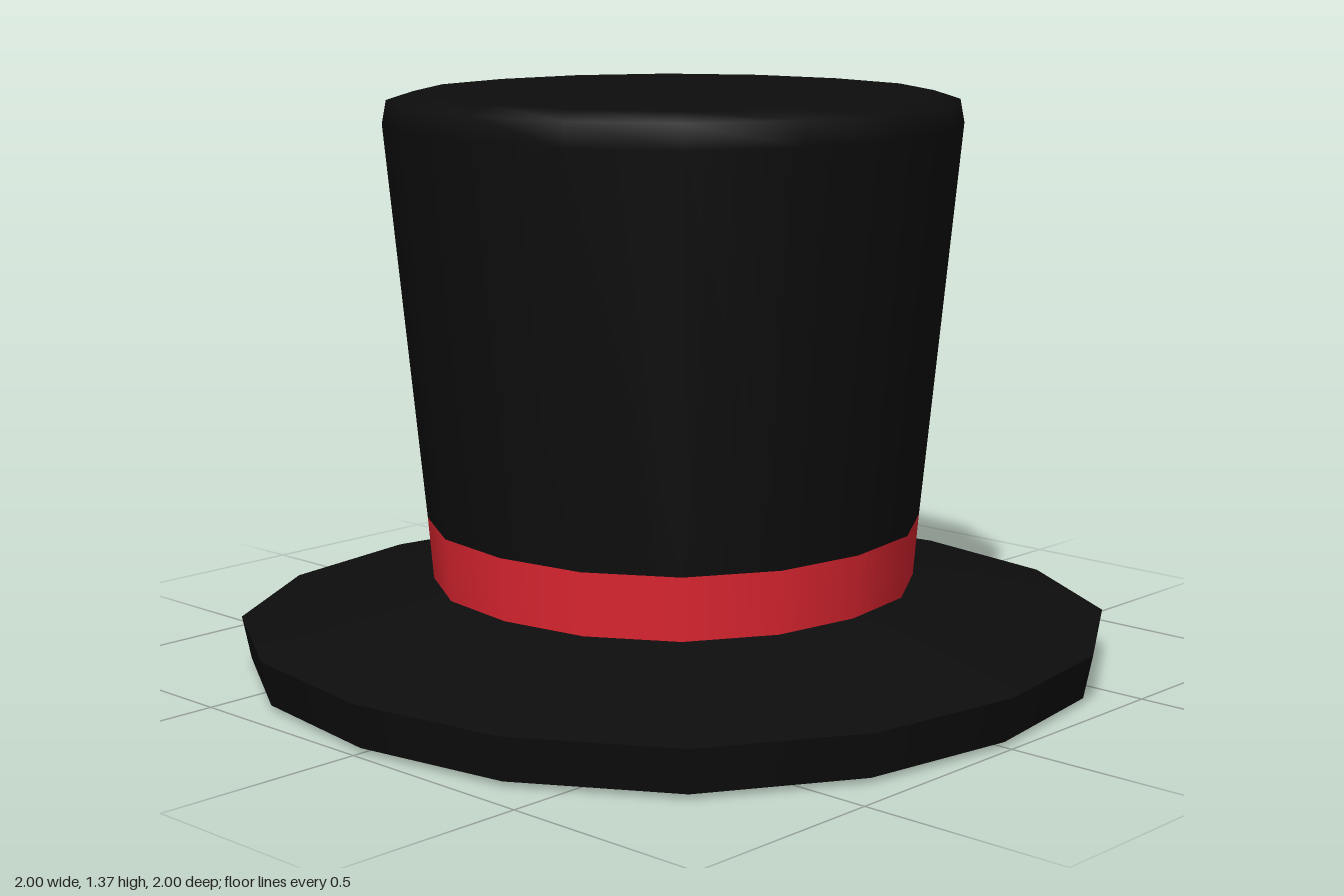
import * as THREE from 'three';

const SIDES = 16;

// Revolve a profile, then swell it a little on the diagonals
function revolve(name, profile, material) {
  const geometry = new THREE.LatheGeometry(profile.map(([r, y]) => new THREE.Vector2(r, y)), SIDES);
  const pos = geometry.attributes.position;
  for (let i = 0; i < pos.count; i++) {
    const x = pos.getX(i), z = pos.getZ(i);
    const swell = 1 + 0.033 * Math.sin(2 * Math.atan2(x, z)) ** 2;
    pos.setXYZ(i, x * swell, pos.getY(i), z * swell);
  }
  const mesh = new THREE.Mesh(geometry, material);
  mesh.name = name;
  return mesh;
}

export function createModel() {
  const felt = new THREE.MeshStandardMaterial({ color: 0x0d0d0d });
  felt.name = 'black felt';
  const ribbon = new THREE.MeshStandardMaterial({ color: 0xe02631 });
  ribbon.name = 'red ribbon';

  const hat = new THREE.Group();
  hat.name = 'topHat';

  // Hollow inside, from the closed top down to the opening
  hat.add(revolve('lining', [[0, 1.28], [0.54, 1.28], [0.57, 1.22], [0.49, 0.2], [0.49, 0.05], [0.56, 0]], felt));

  // Brim: nearly flat underside, upright rim, sloping top
  hat.add(revolve('brimUnderside', [[0.56, 0], [0.84, 0.005], [0.98, 0.012]], felt));
  hat.add(revolve('brimEdge', [[0.98, 0.012], [1, 0.115]], felt));
  hat.add(revolve('brimTop', [[1, 0.115], [0.555, 0.207]], felt));

  // Ribbon flush with the foot of the crown
  hat.add(revolve('hatBand', [[0.555, 0.207], [0.567, 0.355]], ribbon));

  // Flaring crown with a softened top edge
  hat.add(revolve('crown', [[0.567, 0.355], [0.655, 1.29], [0.645, 1.345], [0.585, 1.365], [0, 1.365]], felt));

  return hat;
}
